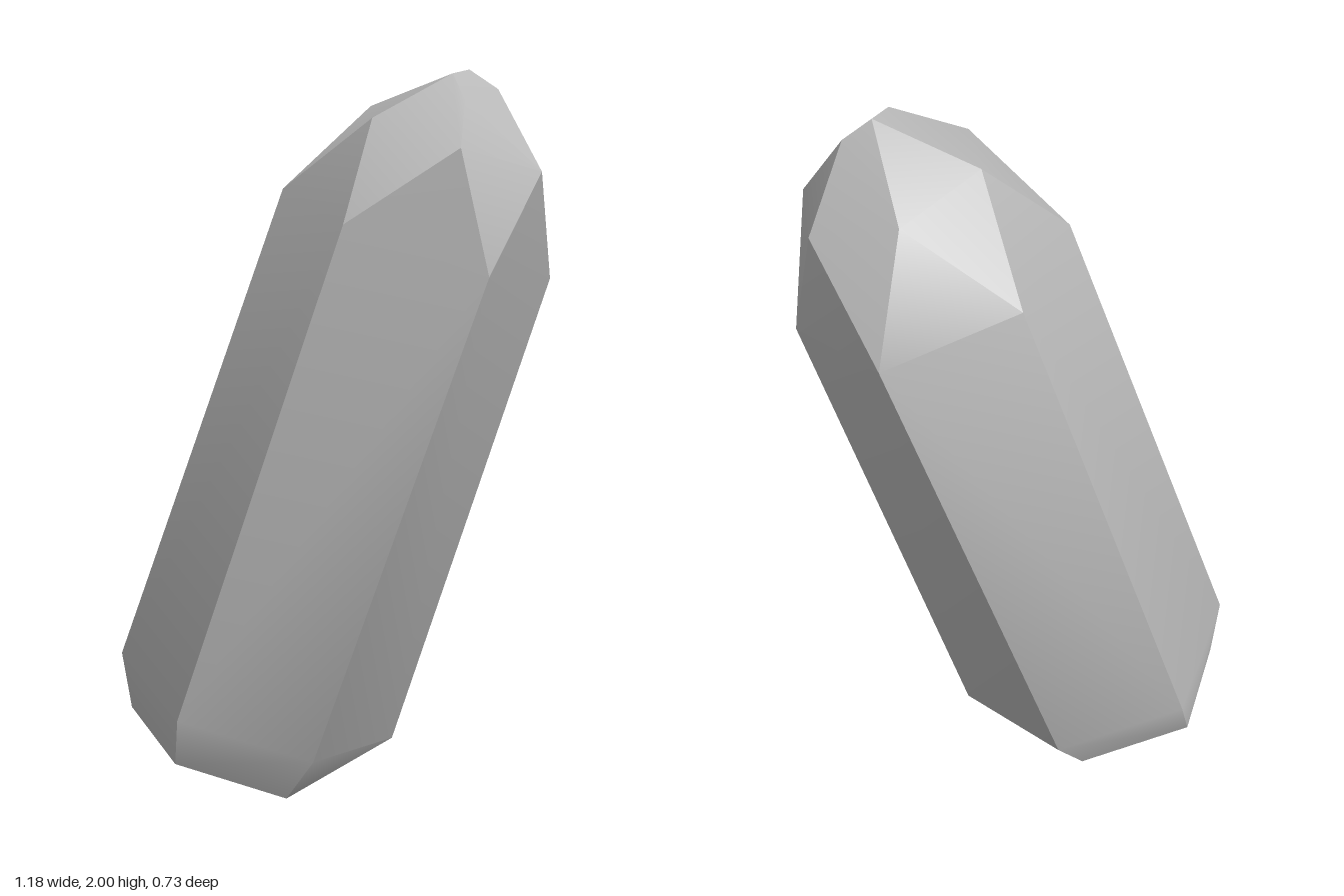
import * as THREE from 'three';
import { ConvexGeometry } from 'three/addons/geometries/ConvexGeometry.js';
import { toCreasedNormals } from 'three/addons/utils/BufferGeometryUtils.js';

// Six-sided leaning crystal: each ring lists its corners around the axis
const baseRing = [
  [-0.575, 0.2, 0.04], [-0.39, 0.137, 0.29], [-0.09, 0.033, 0.24],
  [0.005, 0, -0.055], [-0.17, 0.063, -0.285], [-0.48, 0.167, -0.25],
];
const lowerRing = [
  [-0.595, 0.37, 0.06], [-0.365, 0.29, 0.362], [-0.005, 0.17, 0.305],
  [0.17, 0.11, -0.055], [-0.095, 0.2, -0.365], [-0.45, 0.32, -0.323],
];
const shoulderRing = [
  [-0.12, 1.69, 0.067], [0.08, 1.62, 0.35], [0.445, 1.49, 0.32],
  [0.59, 1.45, -0.04], [0.355, 1.535, -0.365], [0.005, 1.65, -0.28],
];
// Cut facets of the point
const crownRing = [
  [0.138, 1.88, 0.23], [0.37, 1.81, 0.328], [0.566, 1.745, 0.165],
  [0.53, 1.755, -0.098], [0.3, 1.835, -0.195], [0.103, 1.905, -0.03],
];
const tip = [
  [0.333, 1.99, 0.137], [0.37, 2, 0.053], [0.445, 1.95, 0.04], [0.37, 1.925, 0.205],
];

export function createModel() {
  const group = new THREE.Group();
  group.name = 'crystal';
  const stone = new THREE.MeshStandardMaterial({ color: 0xb8b8b8 });
  stone.name = 'grey stone';

  const points = [baseRing, lowerRing, shoulderRing, crownRing, tip]
    .flat().map((p) => new THREE.Vector3(...p));
  // Soft bevels blend, the long edges stay sharp
  const geometry = toCreasedNormals(new ConvexGeometry(points), 0.52);

  const shard = new THREE.Mesh(geometry, stone);
  shard.name = 'crystalShard';
  group.add(shard);
  return group;
}
